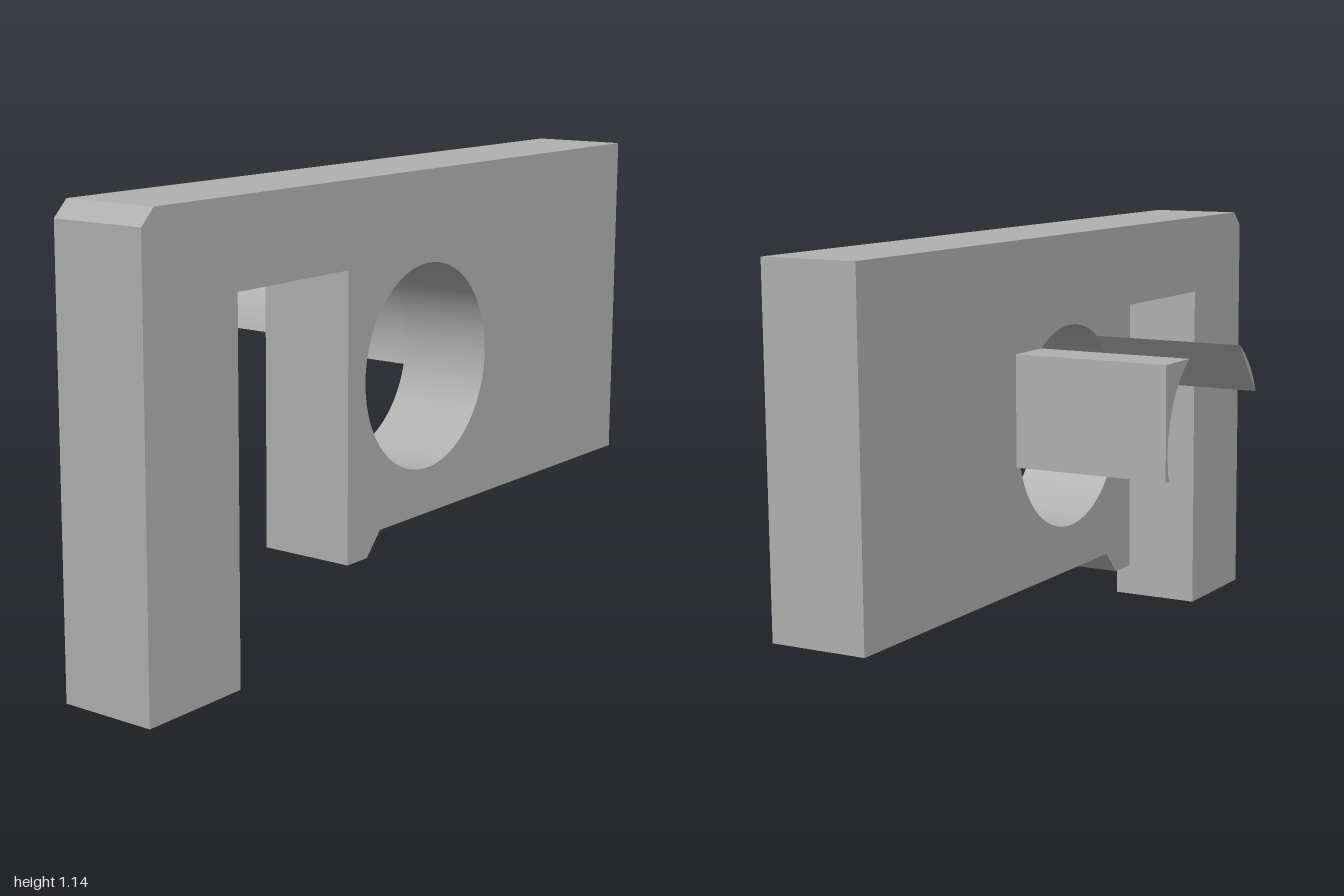
import * as THREE from 'three';
import { toCreasedNormals } from 'three/addons/utils/BufferGeometryUtils.js';

// Round bore shared by the plate and the two rear prongs
const BORE = { x: 0.055, y: 0.645, r: 0.265 };
const BACK = -0.335, PLATE_BACK = 0.08, FRONT = 0.335;

const angleAtY = y => Math.asin((y - BORE.y) / BORE.r);
const angleAtX = x => Math.acos((x - BORE.x) / BORE.r);

function extrudePart(name, shape, z0, z1, material) {
  const geometry = new THREE.ExtrudeGeometry(shape, {
    depth: z1 - z0, bevelEnabled: false, curveSegments: 48,
  });
  geometry.translate(0, 0, z0);
  const mesh = new THREE.Mesh(toCreasedNormals(geometry, 0.5), material);
  mesh.name = name;
  return mesh;
}

export function createModel() {
  const group = new THREE.Group();
  group.name = 'bracket';
  const grey = new THREE.MeshStandardMaterial({ color: 0xb0b0b0 });
  grey.name = 'grey';

  // Plate with a long leg, a slot, a small lip and a bored hole
  const plate = new THREE.Shape([
    [-1, 0], [-0.69, 0], [-0.69, 0.93], [-0.28, 0.93], [-0.28, 0.2], [-0.2, 0.2],
    [-0.145, 0.26], [1, 0.26], [1, 1.145], [-0.96, 1.145], [-1, 1.105],
  ].map(([x, y]) => new THREE.Vector2(x, y)));
  const hole = new THREE.Path();
  hole.absarc(BORE.x, BORE.y, BORE.r, 0, Math.PI * 2, true);
  plate.holes.push(hole);
  group.add(extrudePart('plate', plate, PLATE_BACK, FRONT, grey));

  // Rear prongs, hollowed on the inside to follow the bore
  const top = 0.865, bottom = 0.58;
  const left = new THREE.Shape();
  left.moveTo(0.33, bottom);
  left.lineTo(0.33, top);
  left.absarc(BORE.x, BORE.y, BORE.r, angleAtY(top), angleAtY(bottom), true);
  group.add(extrudePart('leftProng', left, BACK, PLATE_BACK, grey));

  const right = new THREE.Shape();
  right.moveTo(-0.195, top);
  right.absarc(BORE.x, BORE.y, BORE.r, angleAtX(-0.195), Math.PI - angleAtY(top), true);
  group.add(extrudePart('rightProng', right, BACK, PLATE_BACK, grey));

  return group;
}
